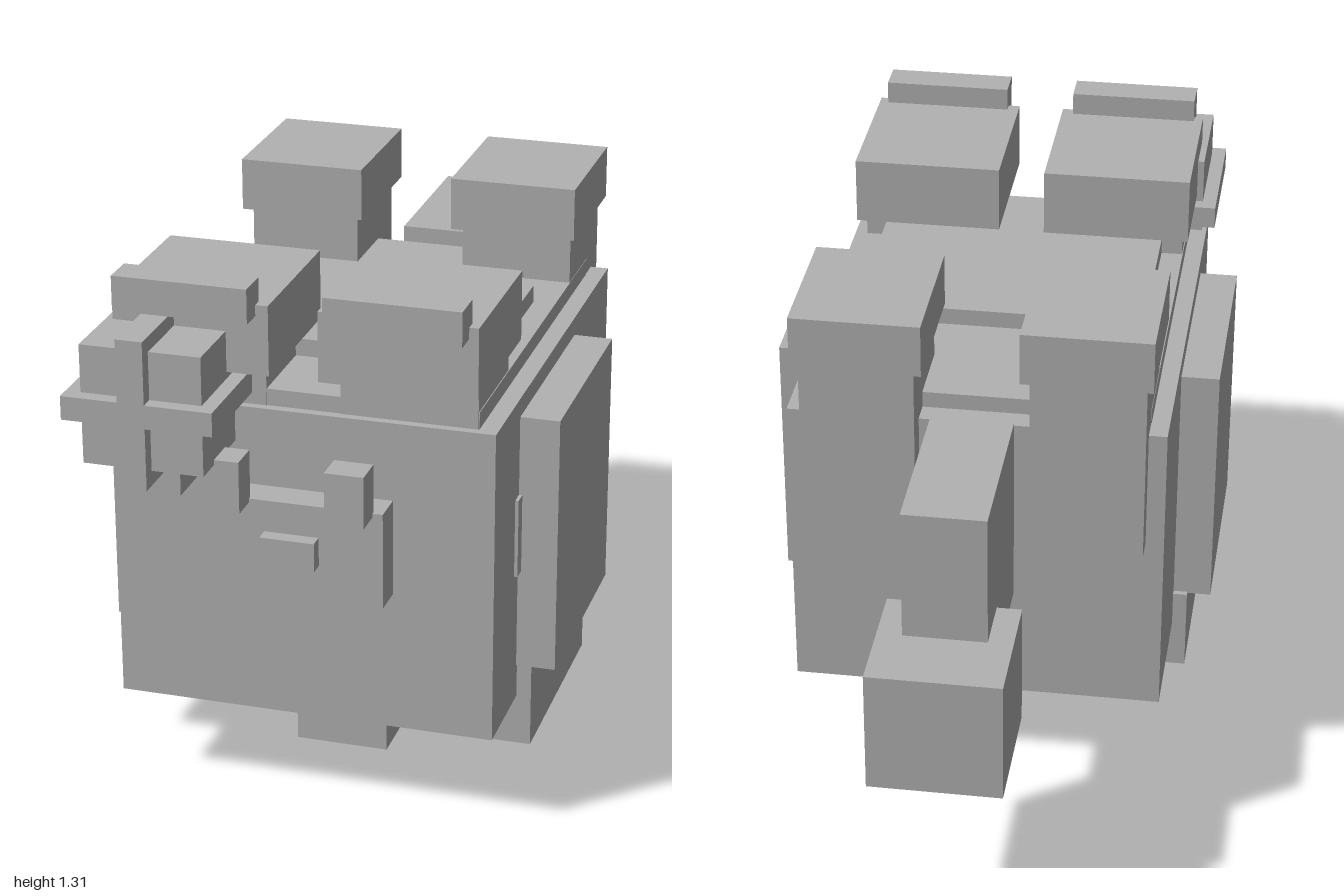
import * as THREE from 'three';

export function createModel() {
  const model = new THREE.Group();
  const grey = new THREE.MeshStandardMaterial({ color: 0xb2b2b2 });
  grey.name = 'grey';

  // Box from its extents on each axis
  function box(name, [x0, x1], [y0, y1], [z0, z1]) {
    const mesh = new THREE.Mesh(new THREE.BoxGeometry(x1 - x0, y1 - y0, z1 - z0), grey);
    mesh.position.set((x0 + x1) / 2, (y0 + y1) / 2, (z0 + z1) / 2);
    mesh.name = name;
    model.add(mesh);
  }
  // Box centred on x = 0
  const mid = (name, halfWidth, y, z) => box(name, [-halfWidth, halfWidth], y, z);
  // Box mirrored to both sides
  function pair(name, [x0, x1], y, z) {
    box(name + 'Left', [x0, x1], y, z);
    box(name + 'Right', [-x1, -x0], y, z);
  }

  // Body and its stepped top and bottom
  mid('body', 0.45, [0.23, 0.99], [-0.355, 0.752]);
  mid('backSlab', 0.407, [0.95, 1.03], [-0.3, 0.73]);
  mid('upperBackSlab', 0.353, [1.0, 1.072], [0.03, 0.52]);
  mid('bellyPlate', 0.38, [0.175, 0.25], [-0.085, 0.615]);
  mid('lowerBelly', 0.485, [0.105, 0.318], [-0.012, 0.525]);
  mid('foot', 0.113, [0, 0.12], [0.257, 0.465]);

  // Flanks
  pair('sidePanel', [0.43, 0.543], [0.315, 0.945], [0.002, 0.533]);
  pair('sidePlate', [0.43, 0.458], [0.56, 0.752], [0.2, 0.567]);

  // Face
  mid('muzzle', 0.214, [0.57, 0.802], [0.74, 0.831]);
  mid('nose', 0.064, [0.657, 0.726], [0.82, 0.866]);
  pair('eye', [0.099, 0.19], [0.793, 0.917], [0.822, 0.897]);

  // Front blocks on short stems, with a raised lip
  pair('frontStem', [0.087, 0.405], [0.98, 1.1], [0.47, 0.732]);
  pair('frontBlock', [0.057, 0.422], [1.09, 1.256], [0.424, 0.801]);
  pair('frontLip', [0.086, 0.4], [1.23, 1.312], [0.776, 0.858]);

  // Rear posts with caps
  pair('rearPost', [0.135, 0.406], [0.692, 1.16], [-0.418, -0.122]);
  pair('rearCap', [0.114, 0.422], [1.152, 1.281], [-0.437, -0.087]);

  // Banded cube ornament on the right
  box('ornamentCube', [-0.438, -0.156], [0.905, 1.187], [0.684, 0.966]);
  box('ornamentCrossBand', [-0.473, -0.121], [1.018, 1.074], [0.648, 1]);
  box('ornamentUprightBand', [-0.34, -0.277], [0.87, 1.222], [0.648, 1]);
  box('ornamentStem', [-0.354, -0.243], [0.812, 0.92], [0.765, 0.88]);

  // Tail
  mid('tailBase', 0.098, [0.555, 1.03], [-0.83, -0.408]);
  mid('tailEnd', 0.157, [0.4, 0.705], [-1, -0.69]);
  mid('tailTip', 0.075, [0.33, 0.474], [-0.808, -0.655]);

  return model;
}
